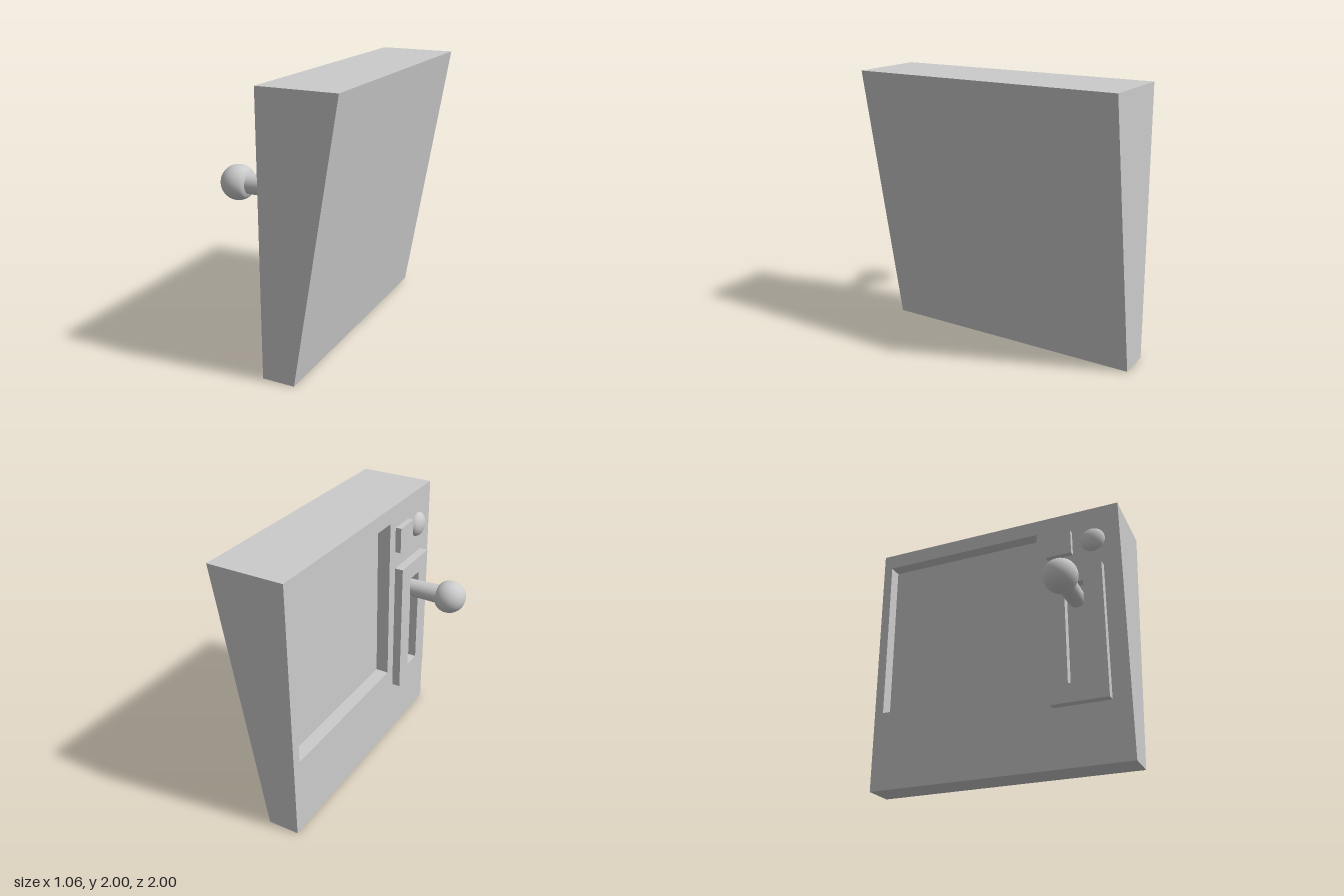
import * as THREE from 'three';

const FACE = -0.04; // x of the flat control face
const material = new THREE.MeshStandardMaterial({ color: 0xcccccc });

function add(group, name, geometry, x = 0, y = 0, z = 0) {
  const mesh = new THREE.Mesh(geometry, material);
  mesh.name = name;
  mesh.position.set(x, y, z);
  group.add(mesh);
  return mesh;
}

function rectangle(target, z0, z1, y0, y1) {
  target.moveTo(z0, y0);
  target.lineTo(z1, y0);
  target.lineTo(z1, y1);
  target.lineTo(z0, y1);
  target.closePath();
  return target;
}

// Rectangular plate in the zy plane with a rectangular opening, thickened towards -x
function framedPlate(outer, opening, depth) {
  const shape = rectangle(new THREE.Shape(), ...outer);
  shape.holes.push(rectangle(new THREE.Path(), ...opening));
  return new THREE.ExtrudeGeometry(shape, { depth, bevelEnabled: false }).rotateY(-Math.PI / 2);
}

export function createModel() {
  const model = new THREE.Group();
  model.name = 'leverConsole';

  // Front slab with the recessed screen opening
  const recess = 0.1;
  add(model, 'screenFrame',
    framedPlate([-1, 1, 0, 2], [-0.93, 0.35, 0.605, 1.88], recess), FACE + recess);

  // Wedge body behind it; its flat face is the floor of the screen recess
  const wedge = new THREE.Shape([
    new THREE.Vector2(FACE + recess, 0),
    new THREE.Vector2(0.2, 0),
    new THREE.Vector2(0.53, 2),
    new THREE.Vector2(FACE + recess, 2),
  ]);
  add(model, 'wedgeBody',
    new THREE.ExtrudeGeometry(wedge, { depth: 2, bevelEnabled: false }), 0, 0, -1);

  // Slotted lever plate
  add(model, 'leverPlate',
    framedPlate([0.44, 0.865, 0.44, 1.49], [0.575, 0.72, 0.58, 1.36], 0.065), FACE);

  // Lever shaft and ball, each turned about the x axis
  const shaft = new THREE.CylinderGeometry(0.073, 0.066, 0.31, 32).rotateZ(Math.PI / 2);
  add(model, 'leverShaft', shaft, FACE - 0.155, 1.25, 0.65);
  const profile = [new THREE.Vector2(0.073, -0.088), new THREE.Vector2(0.092, -0.082)];
  for (let i = 0; i <= 20; i++) {
    const a = THREE.MathUtils.lerp(-0.6, Math.PI / 2, i / 20);
    profile.push(new THREE.Vector2(Math.max(0, 0.125 * Math.cos(a)), 0.125 * Math.sin(a)));
  }
  add(model, 'leverBall',
    new THREE.LatheGeometry(profile, 32).rotateZ(Math.PI / 2), -0.407, 1.25, 0.65);

  // Square button and domed button above the lever
  add(model, 'squareButton',
    new THREE.BoxGeometry(0.045, 0.195, 0.2), FACE - 0.0225, 1.725, 0.535);
  const dome = new THREE.SphereGeometry(0.094, 32, 10, 0, Math.PI * 2, 0, Math.PI / 2)
    .scale(1, 0.59, 1).rotateZ(Math.PI / 2);
  add(model, 'domeButton', dome, FACE, 1.722, 0.793);

  return model;
}
